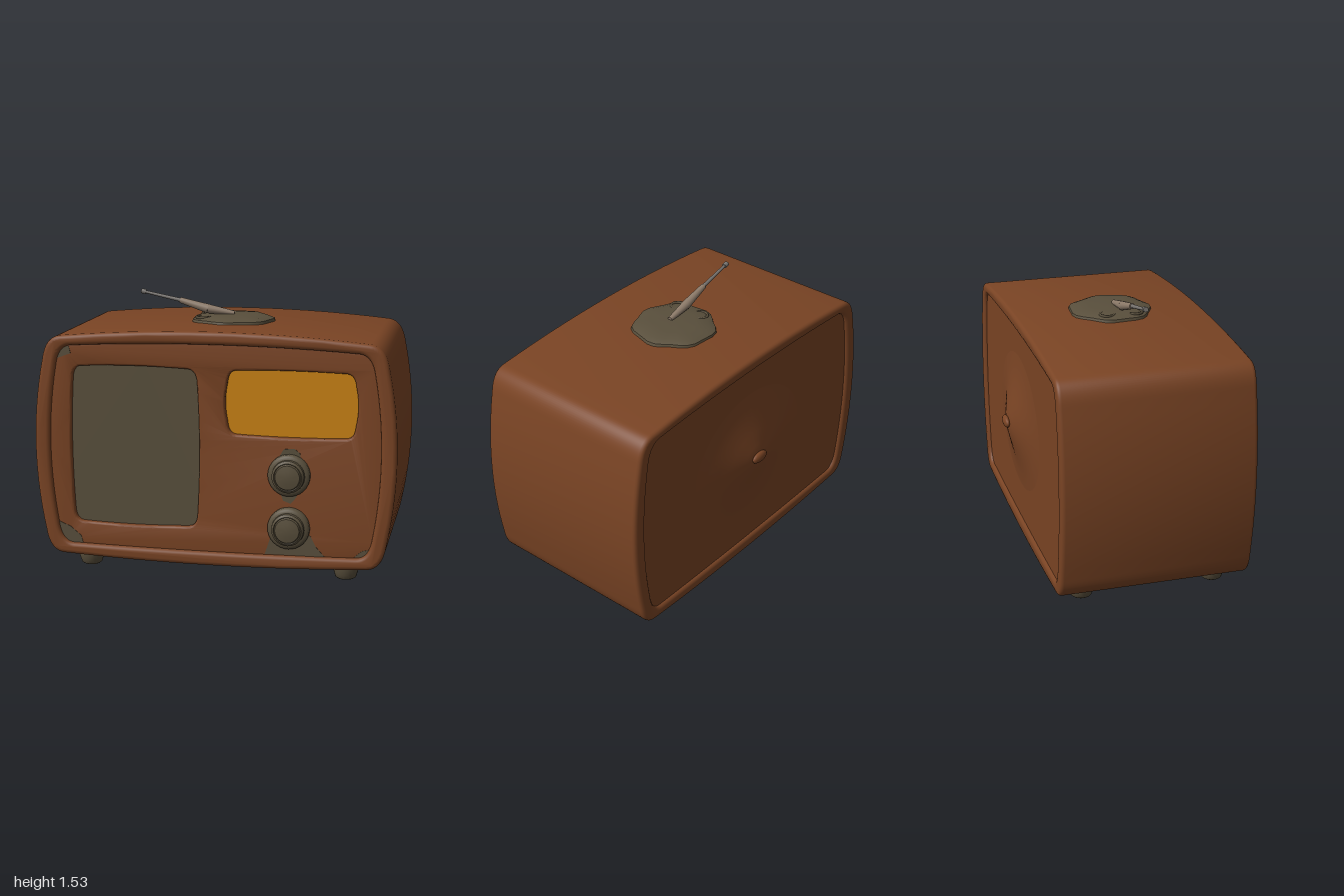
import * as THREE from 'three';
import { toCreasedNormals } from 'three/addons/utils/BufferGeometryUtils.js';

const mat = (name, color) => {
  const m = new THREE.MeshStandardMaterial({ color });
  m.name = name;
  return m;
};

// Rounded rectangle with bulging sides. c: corner size, side/top/bottom: bulges
function bulged(cx, w, y0, y1, c, side, top, bottom) {
  const s = new THREE.Shape(), ym = (y0 + y1) / 2;
  const R = cx + w, L = cx - w;
  const ix = side, ct = c + top, cb = c + bottom;
  s.moveTo(L + ix + c * 0.8, y0 + bottom);
  s.quadraticCurveTo(cx, y0 - bottom, R - ix - c * 0.8, y0 + bottom);
  s.quadraticCurveTo(R - ix * 1.4, y0 + bottom * 1.2, R - ix, y0 + cb);
  s.quadraticCurveTo(R + side, ym, R - ix, y1 - ct);
  s.quadraticCurveTo(R - ix * 1.4, y1 - top * 1.2, R - ix - c * 0.8, y1 - top);
  s.quadraticCurveTo(cx, y1 + top, L + ix + c * 0.8, y1 - top);
  s.quadraticCurveTo(L + ix * 1.4, y1 - top * 1.2, L + ix, y1 - ct);
  s.quadraticCurveTo(L - side, ym, L + ix, y0 + cb);
  s.quadraticCurveTo(L + ix * 1.4, y0 + bottom * 1.2, L + ix + c * 0.8, y0 + bottom);
  return s;
}

// Extrusion between two z values with edges softened inside the outline
function slab(shape, z0, z1, bevel = 0) {
  const g = new THREE.ExtrudeGeometry(shape, {
    depth: z1 - z0 - 2 * bevel, curveSegments: 14, bevelEnabled: bevel > 0,
    bevelThickness: bevel, bevelSize: bevel, bevelOffset: -bevel, bevelSegments: 3,
  });
  g.translate(0, 0, z0 + bevel);
  return toCreasedNormals(g, 0.6);
}

const lathe = (pts, seg = 32) =>
  toCreasedNormals(new THREE.LatheGeometry(pts.map(p => new THREE.Vector2(...p)), seg), 0.7);

export function createModel() {
  const group = new THREE.Group();
  const brown = mat('brown case', 0x7a4424);
  const grey = mat('worn grey metal', 0x594f3c);
  const amber = mat('amber dial', 0xc98112);
  const rod = mat('antenna tan', 0x8c7a69);
  const steel = mat('antenna steel', 0x77736f);

  const add = (name, geo, m, x = 0, y = 0, z = 0) => {
    const mesh = new THREE.Mesh(geo, m);
    mesh.name = name;
    mesh.position.set(x, y, z);
    group.add(mesh);
    return mesh;
  };

  // Case: a hollow shell open at front and back
  const shell = bulged(0, 1, 0.063, 1.36, 0.13, 0.05, 0.042, 0.025);
  shell.holes.push(bulged(0, 0.915, 0.14, 1.29, 0.11, 0.04, 0.025, 0.01));
  add('case', slab(shell, -0.52, 0.545, 0.022), brown);

  // Front panel with two window openings
  const inner = () => bulged(0, 0.93, 0.13, 1.3, 0.11, 0.04, 0.025, 0.01);
  const grilleHole = () => bulged(-0.437, 0.362, 0.265, 1.16, 0.07, 0.012, 0.008, 0.008);
  const dialHole = () => bulged(0.427, 0.36, 0.795, 1.16, 0.07, 0.012, 0.006, 0.006);
  const panel = inner();
  panel.holes.push(grilleHole(), dialHole());
  add('frontPanel', slab(panel, 0.45, 0.52, 0.012), brown);
  add('speakerGrille', slab(bulged(-0.437, 0.39, 0.24, 1.19, 0.07, 0.012, 0.008, 0.008), 0.46, 0.488), grey);
  add('dialWindow', slab(bulged(0.427, 0.39, 0.77, 1.19, 0.07, 0.012, 0.006, 0.006), 0.46, 0.488), amber);

  // Two tuning knobs: flange, body and raised cap
  const knob = lathe([[0.115, 0], [0.115, 0.03], [0.105, 0.042], [0.09, 0.045], [0.088, 0.064],
    [0.076, 0.074], [0.072, 0.07], [0.066, 0.081], [0.035, 0.086], [0, 0.088]]);
  for (const y of [0.595, 0.3])
    add('knob', knob, grey, 0.422, y, 0.513).rotation.x = Math.PI / 2;

  // Worn patches on the front panel
  const patches = [
    [[0.36, 0.64], [0.49, 0.64], [0.48, 0.715], [0.45, 0.74], [0.39, 0.735], [0.37, 0.7]],
    [[0.37, 0.5], [0.39, 0.45], [0.43, 0.435], [0.46, 0.47], [0.47, 0.5]],
    [[0.29, 0.145], [0.62, 0.145], [0.57, 0.2], [0.54, 0.26], [0.42, 0.3], [0.32, 0.24]],
    [[-0.88, 0.27], [-0.87, 0.17], [-0.81, 0.15], [-0.74, 0.15], [-0.75, 0.19], [-0.81, 0.24]],
    [[0.78, 0.155], [0.85, 0.16], [0.86, 0.2], [0.82, 0.19]],
    [[-0.87, 1.19], [-0.79, 1.22], [-0.8, 1.26], [-0.85, 1.25]],
  ];
  for (const p of patches)
    add('wornPatch', slab(new THREE.Shape(p.map(q => new THREE.Vector2(...q))), 0.517, 0.523), grey);

  // Back panel with a shallow peak and a small stud
  add('backPanel', slab(inner(), -0.502, -0.47), brown);
  const peak = add('backPeak', lathe([[0.5, 0], [0.4, 0.008], [0.3, 0.022], [0.2, 0.042],
    [0.1, 0.064], [0.05, 0.073], [0, 0.075]], 40), brown, 0.02, 0.745, -0.501);
  peak.rotation.x = -Math.PI / 2;
  peak.scale.set(0.95, 1, 0.8);
  const stud = add('backStud', new THREE.SphereGeometry(1, 20, 12), brown, 0.02, 0.752, -0.582);
  stud.scale.set(0.06, 0.032, 0.02);

  // Four rounded feet
  const foot = lathe([[0, 0], [0.045, 0], [0.057, 0.008], [0.064, 0.03], [0.073, 0.06], [0.073, 0.1]], 24);
  for (const x of [-0.727, 0.722])
    for (const z of [0.4, -0.35]) add('foot', foot, grey, x, 0, z);

  // Irregular antenna base plate
  const plate = new THREE.LatheGeometry([[0.245, 0], [0.238, 0.022], [0.2, 0.036], [0.13, 0.042], [0, 0.046]]
    .map(p => new THREE.Vector2(...p)), 32);
  const pos = plate.attributes.position;
  for (let i = 0; i < pos.count; i++) {
    const a = Math.atan2(pos.getZ(i), pos.getX(i));
    const k = 0.95 + 0.035 * Math.cos(7 * a + 1) + 0.02 * Math.sin(3 * a);
    pos.setX(i, pos.getX(i) * k);
    pos.setZ(i, pos.getZ(i) * k);
  }
  add('antennaBase', toCreasedNormals(plate, 0.7), grey, 0.02, 1.35, 0.03);

  // Curled torn edges beside the antenna
  for (const [z, a] of [[-0.03, 0.4], [0.13, 2.2]]) {
    const curl = add('tornEdge', new THREE.TorusGeometry(0.04, 0.008, 6, 16, 4), grey, -0.13, 1.384, z);
    curl.rotation.set(-Math.PI / 2, 0, a);
  }

  // Telescopic antenna leaning to the right
  const section = (name, a, b, ra, rb, m) => {
    const p = new THREE.Vector3(...a), q = new THREE.Vector3(...b), d = q.clone().sub(p);
    const mesh = add(name, new THREE.CylinderGeometry(rb, ra, d.length(), 14), m);
    mesh.position.copy(p).add(q).multiplyScalar(0.5);
    mesh.quaternion.setFromUnitVectors(new THREE.Vector3(0, 1, 0), d.normalize());
  };
  section('antennaLower', [0.03, 1.398, 0.055], [-0.12, 1.422, 0.063], 0.014, 0.026, rod);
  section('antennaMiddle', [-0.12, 1.422, 0.063], [-0.28, 1.468, 0.068], 0.026, 0.016, rod);
  section('antennaUpper', [-0.27, 1.466, 0.068], [-0.49, 1.513, 0.076], 0.011, 0.008, steel);
  section('antennaTip', [-0.475, 1.51, 0.075], [-0.502, 1.516, 0.076], 0.014, 0.014, steel);
  return group;
}
